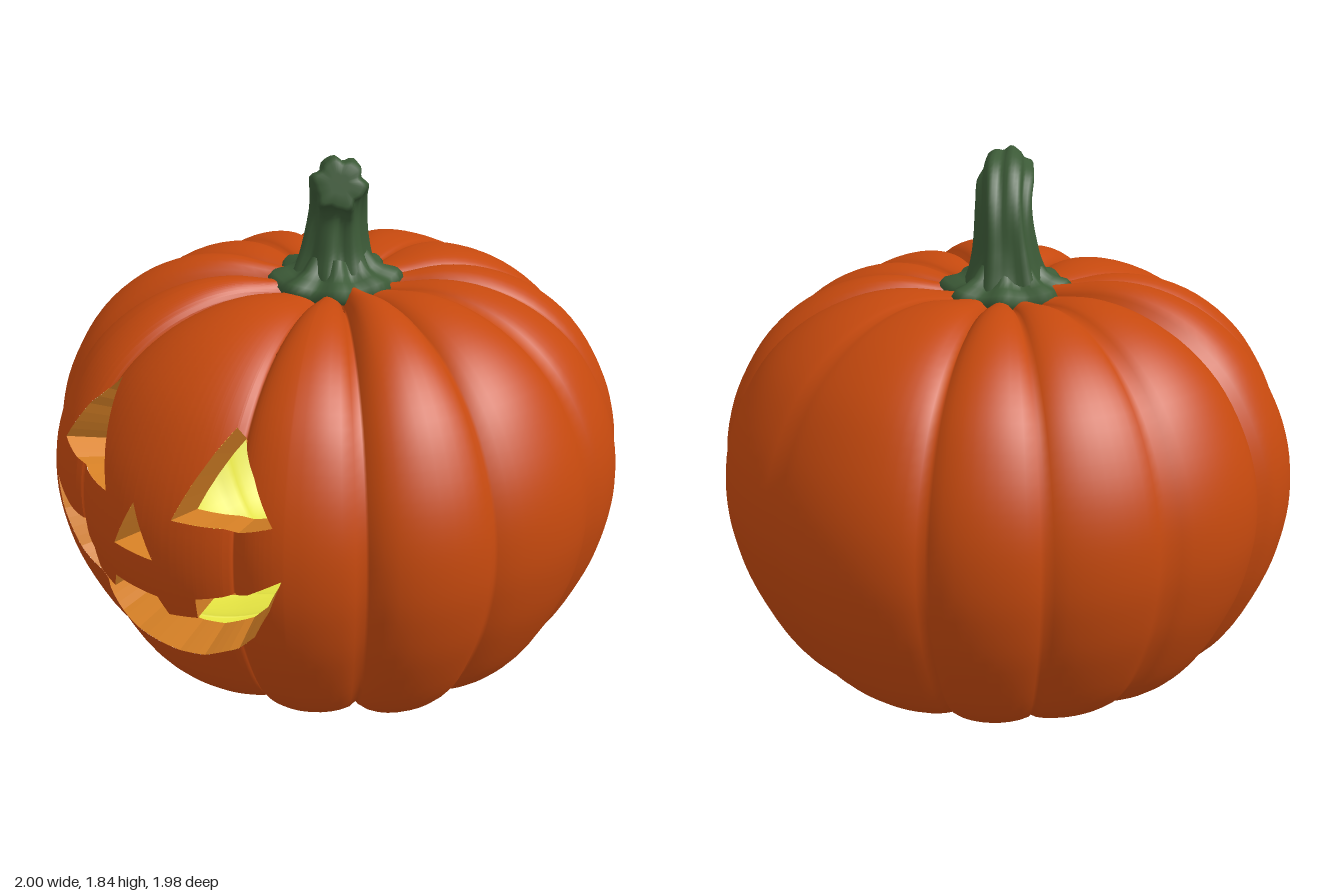
import * as THREE from 'three';
import { mergeVertices } from 'three/addons/utils/BufferGeometryUtils.js';

const { lerp, smoothstep, clamp, degToRad } = THREE.MathUtils;
const V = (x, y, z) => new THREE.Vector3(x, y, z);
const CY = 0.72;      // height of the centre that ribs and cuts aim at
const INNER = 0.86;   // inner shell size relative to the skin

// Half outline of the body, bottom to top (radius, height)
const profile = new THREE.SplineCurve([
  [0, 0], [0.3, 0], [0.5, 0.01], [0.69, 0.07], [0.82, 0.19], [0.93, 0.4], [0.982, 0.57], [1, 0.72],
  [0.985, 0.88], [0.93, 1.04], [0.83, 1.2], [0.69, 1.32], [0.53, 1.39], [0.37, 1.41], [0.2, 1.385], [0, 1.36],
].map(([x, y]) => new THREE.Vector2(x, y)));

// Ribs of one half, front to back: groove angle, groove size, size of the rib that ends there
const grooves = [[-22, 0.94, 0.99], [22, 0.94, 0.99], [47, 0.945, 1.0], [72, 0.965, 1.02], [100, 0.968, 1.0],
  [124, 0.963, 0.997], [146, 0.955, 1.0], [180, 0.983, 1.0]].map(([a, g, r]) => [degToRad(a), g, r]);

function ribScale(theta, t) {
  const a = Math.min(Math.abs(theta), Math.PI);
  let i = 1;
  while (i < grooves.length - 1 && grooves[i][0] < a) i++;
  const [a0, g0] = grooves[i - 1], [a1, g1, ridge] = grooves[i];
  const u = clamp((a - a0) / (a1 - a0), 0, 1);
  const g = lerp(g0, g1, u);
  const s = g + (ridge - g) * Math.pow(4 * u * (1 - u), 0.6);
  const strength = smoothstep(t, 0, 0.3) * (1 + 0.5 * smoothstep(t, 0.6, 0.85));
  return 1 + (s - 1) * strength;
}

// Point on the skin at an angle from the front and a place along the outline
function skin(theta, t, size = 1) {
  const p = profile.getPoint(t), s = ribScale(theta, t) * size;
  return V(s * p.x * Math.sin(theta), CY + s * (p.y - CY), s * p.x * Math.cos(theta));
}

// Finds the skin coordinates (angle, outline place) of a point seen from the front
function toSkin([x, y]) {
  let theta = 0, t = 0.5;
  for (let k = 0; k < 30; k++) {
    const s = ribScale(theta, t), target = CY + (y - CY) / s;
    let lo = 0.1, hi = 0.75;
    for (let i = 0; i < 30; i++) {
      t = (lo + hi) / 2;
      if (profile.getPoint(t).y < target) lo = t; else hi = t;
    }
    theta = lerp(theta, Math.asin(clamp(x / (s * profile.getPoint(t).x), -1, 1)), 0.7);
  }
  return [theta, t];
}

// Cut openings, outlined as seen from the front
const mouthHalf = [[0.1, 0.592], [0.13, 0.53], [0.235, 0.548], [0.242, 0.625], [0.32, 0.648], [0.42, 0.69], [0.53, 0.765],
  [0.49, 0.65], [0.42, 0.525], [0.32, 0.425], [0.2, 0.365], [0.1, 0.348]];
const mouth = [...mouthHalf, ...mouthHalf.map(([x, y]) => [-x, y]).reverse()];
const openings = {
  mouth,
  leftEye: [[0.27, 1.165], [0.39, 1.055], [0.487, 0.928], [0.375, 0.885], [0.165, 0.885]],
  rightEye: [[-0.26, 1.18], [-0.375, 1.065], [-0.467, 0.928], [-0.385, 0.885], [-0.132, 0.885]],
  nose: [[0.012, 0.9], [-0.075, 0.73], [0.1, 0.73]],
};

// Splits each outline edge into short pieces so it follows the curved skin
function refine(points, n = 4) {
  const out = [];
  points.forEach(([x, y], i) => {
    const [x2, y2] = points[(i + 1) % points.length];
    for (let k = 0; k < n; k++) out.push(toSkin([lerp(x, x2, k / n), lerp(y, y2, k / n)]));
  });
  return out;
}

function pushQuad(out, a, b, c, d) {
  for (const tri of [[a, b, c], [a, c, d]]) {
    const area = tri[1].clone().sub(tri[0]).cross(tri[2].clone().sub(tri[0])).length();
    if (area > 1e-9) for (const p of tri) out.push(p.x, p.y, p.z);
  }
}

function toGeometry(positions, smooth) {
  let g = new THREE.BufferGeometry();
  g.setAttribute('position', new THREE.Float32BufferAttribute(positions, 3));
  if (smooth) g = mergeVertices(g, 1e-5);
  g.computeVertexNormals();
  return g;
}

// Shell built in upright columns, leaving out the parts inside the openings
function shell(holes, size, inward) {
  const edges = holes.flatMap(h => h.map((p, i) => [p, h[(i + 1) % h.length]]));
  const cuts = holes.flat().map(p => p[0]);
  for (let i = 0; i <= 144; i++) cuts.push(lerp(-Math.PI, Math.PI, i / 144));
  for (const [a] of grooves) cuts.push(a, -a);
  cuts.sort((a, b) => a - b);
  const cols = cuts.filter((a, i) => i === 0 || a - cuts[i - 1] > 1e-7);
  const rows = 60, out = [];
  for (let i = 0; i < cols.length - 1; i++) {
    const l = cols[i], r = cols[i + 1], mid = (l + r) / 2;
    const at = ([p, q], x) => lerp(p[1], q[1], clamp((x - p[0]) / (q[0] - p[0]), 0, 1));
    const hit = edges.filter(([p, q]) => (p[0] < mid) !== (q[0] < mid)).sort((e, f) => at(e, mid) - at(f, mid));
    const left = [0, ...hit.map(e => at(e, l)), 1], right = [0, ...hit.map(e => at(e, r)), 1];
    for (let k = 0; k < left.length; k += 2) {
      for (let j = 0; j < rows; j++) {
        const [l0, l1] = [j, j + 1].map(n => clamp(n / rows, left[k], left[k + 1]));
        const [r0, r1] = [j, j + 1].map(n => clamp(n / rows, right[k], right[k + 1]));
        if (l0 === l1 && r0 === r1) continue;
        const q = [skin(l, l0, size), skin(r, r0, size), skin(r, r1, size), skin(l, l1, size)];
        pushQuad(out, ...(inward ? q.reverse() : q));
      }
    }
  }
  return toGeometry(out, true);
}

// Cut flesh joining the skin to the inner shell around one opening
function cutWall(hole) {
  const out = [];
  hole.forEach(([a, t], i) => {
    const [a2, t2] = hole[(i + 1) % hole.length];
    pushQuad(out, skin(a, t), skin(a2, t2), skin(a2, t2, INNER), skin(a, t, INNER));
  });
  return toGeometry(out, false);
}

// Smooth closed-round surface from rings; fn(angle, ring) gives a point
function loft(sides, rings, fn) {
  const out = [];
  for (let j = 0; j < rings - 1; j++) {
    for (let i = 0; i < sides; i++) {
      const a = (i / sides) * Math.PI * 2, b = ((i + 1) % sides / sides) * Math.PI * 2;
      pushQuad(out, fn(a, j), fn(b, j), fn(b, j + 1), fn(a, j + 1));
    }
  }
  return toGeometry(out, true);
}

// Ridged, twisted stalk with a cut end
function stalkGeometry() {
  const path = new THREE.CatmullRomCurve3([V(-0.01, 1.37, 0), V(-0.012, 1.5, -0.005), V(0, 1.63, 0),
    V(0.045, 1.72, 0.045), V(0.122, 1.757, 0.125)]);
  const n = 28, frames = path.computeFrenetFrames(n);
  const radii = new THREE.SplineCurve([0.145, 0.112, 0.093, 0.088, 0.09, 0.08].map((r, i) => new THREE.Vector2(i, r)));
  const caps = [0.85, 0.4, 0];
  return loft(48, n + 1 + caps.length, (a, j) => {
    const k = Math.min(j, n), u = k / n;
    const ridge = 1 + 0.1 * Math.cos(6 * a + 3 * u) + 0.04 * Math.cos(11 * a + 1);
    const r = radii.getPoint(u).y * ridge * (j > n ? caps[j - n - 1] : 1);
    return path.getPoint(u).addScaledVector(frames.normals[k], r * Math.cos(a))
      .addScaledVector(frames.binormals[k], r * Math.sin(a))
      .addScaledVector(frames.tangents[k], j > n ? 0.008 : 0);
  });
}

// Lumpy collar where the stalk meets the body
function collarGeometry() {
  const rings = [[0.15, 1.33], [0.205, 1.352], [0.218, 1.378], [0.2, 1.4], [0.16, 1.412], [0.13, 1.43], [0.1, 1.47]];
  return loft(64, rings.length, (a, j) => {
    const [r, y] = rings[j];
    const lump = 1 + 0.07 * Math.cos(8 * a) + 0.03 * Math.cos(5 * a + 2);
    return V(r * lump * Math.sin(a) - 0.005, y + 0.008 * Math.cos(8 * a), r * lump * Math.cos(a) + 0.005);
  });
}

export function createModel() {
  const material = (name, color, side = THREE.FrontSide) => {
    const m = new THREE.MeshStandardMaterial({ color, side });
    m.name = name;
    return m;
  };
  const orange = material('orangeSkin', 0xc6490e);
  const flesh = material('cutFlesh', 0xd98226, THREE.DoubleSide);
  const glow = material('yellowInside', 0xe0df40);
  const green = material('greenStem', 0x3c5a37);

  const model = new THREE.Group();
  model.name = 'carvedPumpkin';
  const add = (name, geometry, mat) => {
    const mesh = new THREE.Mesh(geometry, mat);
    mesh.name = name;
    model.add(mesh);
  };

  const outlines = Object.entries(openings).map(([name, pts]) => [name, refine(pts)]);
  const holes = outlines.map(o => o[1]);
  add('body', shell(holes, 1, false), orange);
  add('inside', shell(holes, INNER, true), glow);
  for (const [name, hole] of outlines) add(name + 'Wall', cutWall(hole), flesh);
  add('stemCollar', collarGeometry(), green);
  add('stem', stalkGeometry(), green);
  return model;
}
